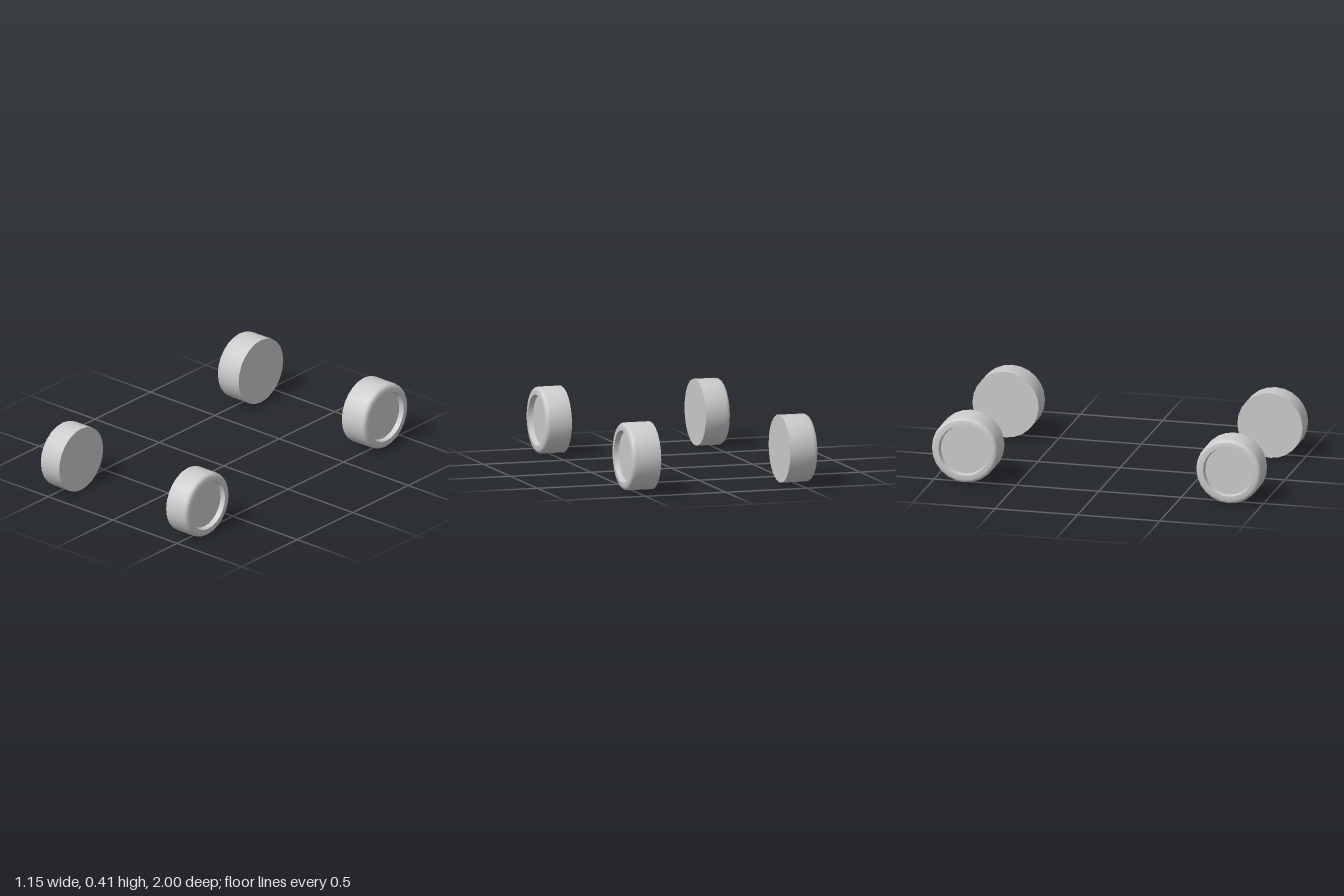
import * as THREE from 'three';
import { toCreasedNormals } from 'three/addons/utils/BufferGeometryUtils.js';

const material = new THREE.MeshStandardMaterial({ color: 0xcccccc });

// Wheel turned around y: flat inner cap at y = 0, rounded shoulder and dished hub at y = width
function wheelGeometry(radius, width, hubRadius) {
  const profile = [
    [0, 0],
    [radius, 0],
    [radius, width - 0.024],
    [radius - 0.004, width - 0.011],
    [radius - 0.011, width - 0.004],
    [radius - 0.022, width],
    [hubRadius, width],
    [hubRadius - 0.006, width - 0.03],
    [0, width - 0.03],
  ].map(([x, y]) => new THREE.Vector2(x, y));
  return toCreasedNormals(new THREE.LatheGeometry(profile, 24), 0.65);
}

export function createModel() {
  const model = new THREE.Group();
  model.name = 'wheelSet';

  // The rear wheels are slightly larger and wider than the front ones
  const axles = [
    { name: 'front', radius: 0.198, inner: 0.415, outer: 0.571, hub: 0.151, y: 0.198, z: 0.802 },
    { name: 'rear', radius: 0.201, inner: 0.4, outer: 0.575, hub: 0.154, y: 0.211, z: -0.799 },
  ];
  for (const a of axles) {
    const geometry = wheelGeometry(a.radius, a.outer - a.inner, a.hub);
    for (const side of [1, -1]) {
      const wheel = new THREE.Mesh(geometry, material);
      wheel.name = a.name + (side > 0 ? 'LeftWheel' : 'RightWheel');
      wheel.rotation.z = -side * Math.PI / 2;
      wheel.position.set(side * a.inner, a.y, a.z);
      model.add(wheel);
    }
  }
  return model;
}
